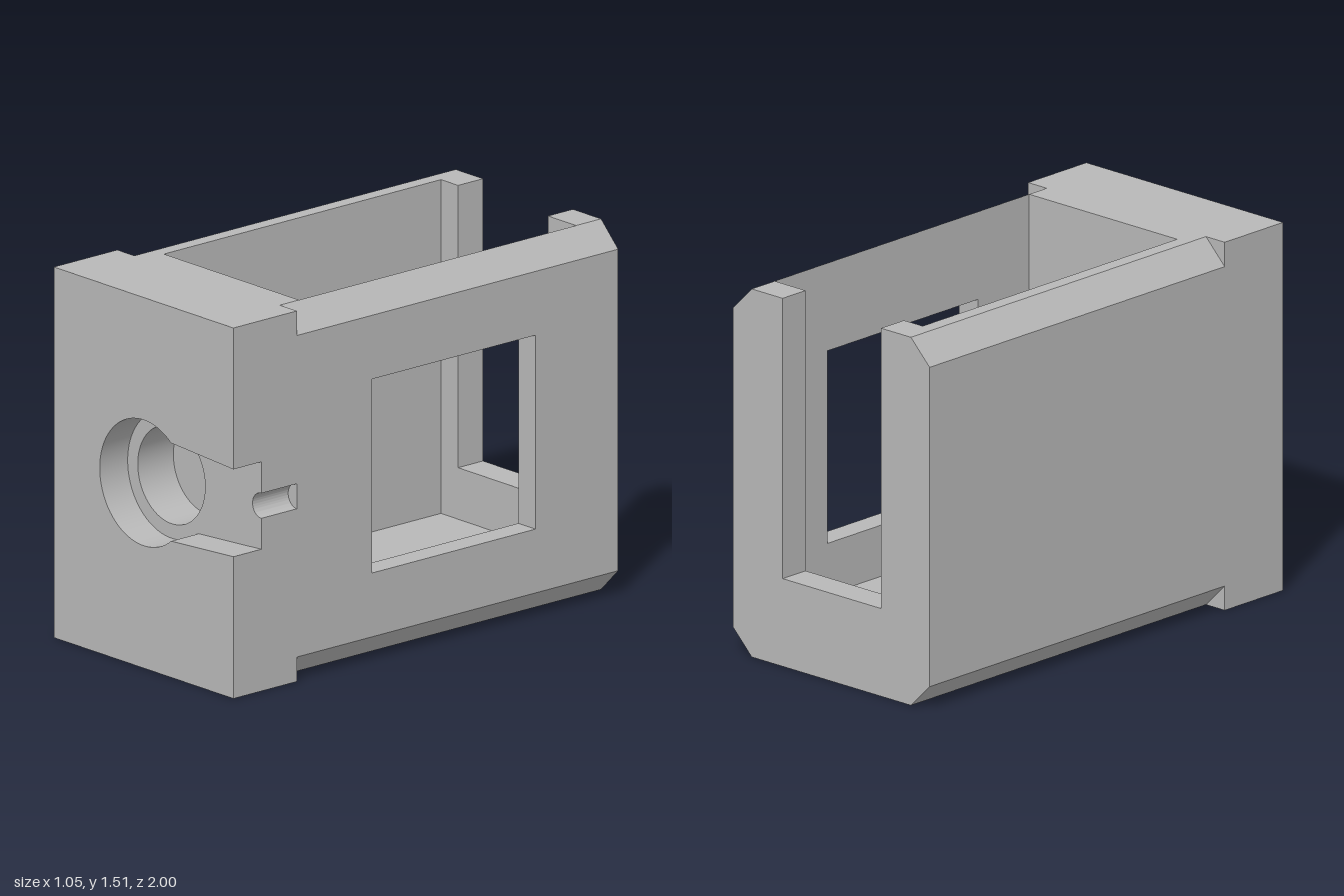
import * as THREE from 'three';
import { toCreasedNormals } from 'three/addons/utils/BufferGeometryUtils.js';

const W = 0.525, H = 1.51, C = 0.1; // half width, height, chamfer
const CY = 0.755;                   // bore centre height
const IN_L = -0.365, IN_R = W - C;  // cavity sides
const FLOOR = 0.15, SILL = 0.36, WIN_TOP = 1.15;

const poly = (pts) => new THREE.Shape(pts.map(([x, y]) => new THREE.Vector2(x, y)));

// Chamfered U section with the given inner slot
const uSection = (left, right, bottom) => poly([
  [-W + C, 0], [W - C, 0], [W, C], [W, H - C], [W - C, H],
  ...(right < W - C ? [[right, H]] : []),
  [right, bottom], [left, bottom], [left, H], [-W + C, H], [-W, H - C], [-W, C],
]);

export function createModel() {
  const group = new THREE.Group();
  const grey = new THREE.MeshStandardMaterial({ color: 0xb8b8b8 });
  grey.name = 'grey';

  // Extrude a cross-section from z0 to z1
  const slab = (name, shape, z0, z1) => {
    const geo = new THREE.ExtrudeGeometry(shape, { depth: z1 - z0, bevelEnabled: false, curveSegments: 48 });
    geo.translate(0, 0, z0);
    const mesh = new THREE.Mesh(toCreasedNormals(geo, 0.4), grey);
    mesh.name = name;
    group.add(mesh);
  };

  // Front plate with the counterbore and the channel open to the side
  const face = new THREE.Shape();
  const a = Math.atan2(0.2, 0.16);
  face.moveTo(-W, 0);
  face.lineTo(W, 0);
  face.lineTo(W, 0.578);
  face.lineTo(0.16, CY - 0.2);
  face.absarc(0, CY, Math.hypot(0.16, 0.2), -a, a, true);
  face.lineTo(W, 0.934);
  face.lineTo(W, H);
  face.lineTo(-W, H);
  slab('frontPlate', face, 0.855, 1);

  // Plate behind it with the inner bore and the half-round groove
  const bore = new THREE.Shape();
  bore.moveTo(-W, 0);
  bore.lineTo(W, 0);
  bore.lineTo(W, CY - 0.051);
  bore.absarc(W, CY, 0.051, -Math.PI / 2, Math.PI / 2, true);
  bore.lineTo(W, H);
  bore.lineTo(-W, H);
  bore.holes.push(new THREE.Path().absarc(0, CY, 0.197, 0, Math.PI * 2, true));
  slab('borePlate', bore, 0.67, 0.855);

  // Solid chamfered wall closing the cavity
  slab('cavityFrontWall', poly([
    [-W + C, 0], [W - C, 0], [W, C], [W, H - C], [W - C, H], [-W + C, H], [-W, H - C], [-W, C],
  ]), 0.57, 0.67);

  // Open-topped body before and behind the window
  slab('bodyFront', uSection(IN_L, IN_R, FLOOR), 0.28, 0.57);
  slab('bodyBack', uSection(IN_L, IN_R, FLOOR), -0.87, -0.57);

  // Body along the side window: below and above the opening
  slab('windowLower', poly([
    [-W + C, 0], [W - C, 0], [W, C], [W, SILL], [IN_R, SILL], [IN_R, FLOOR],
    [IN_L, FLOOR], [IN_L, H], [-W + C, H], [-W, H - C], [-W, C],
  ]), -0.57, 0.28);
  slab('windowLintel', poly([[IN_R, WIN_TOP], [W, WIN_TOP], [W, H - C], [W - C, H]]), -0.57, 0.28);

  // Rear frame with the narrower slot
  slab('rearFrame', uSection(-0.265, 0.26, SILL), -1, -0.87);

  return group;
}
